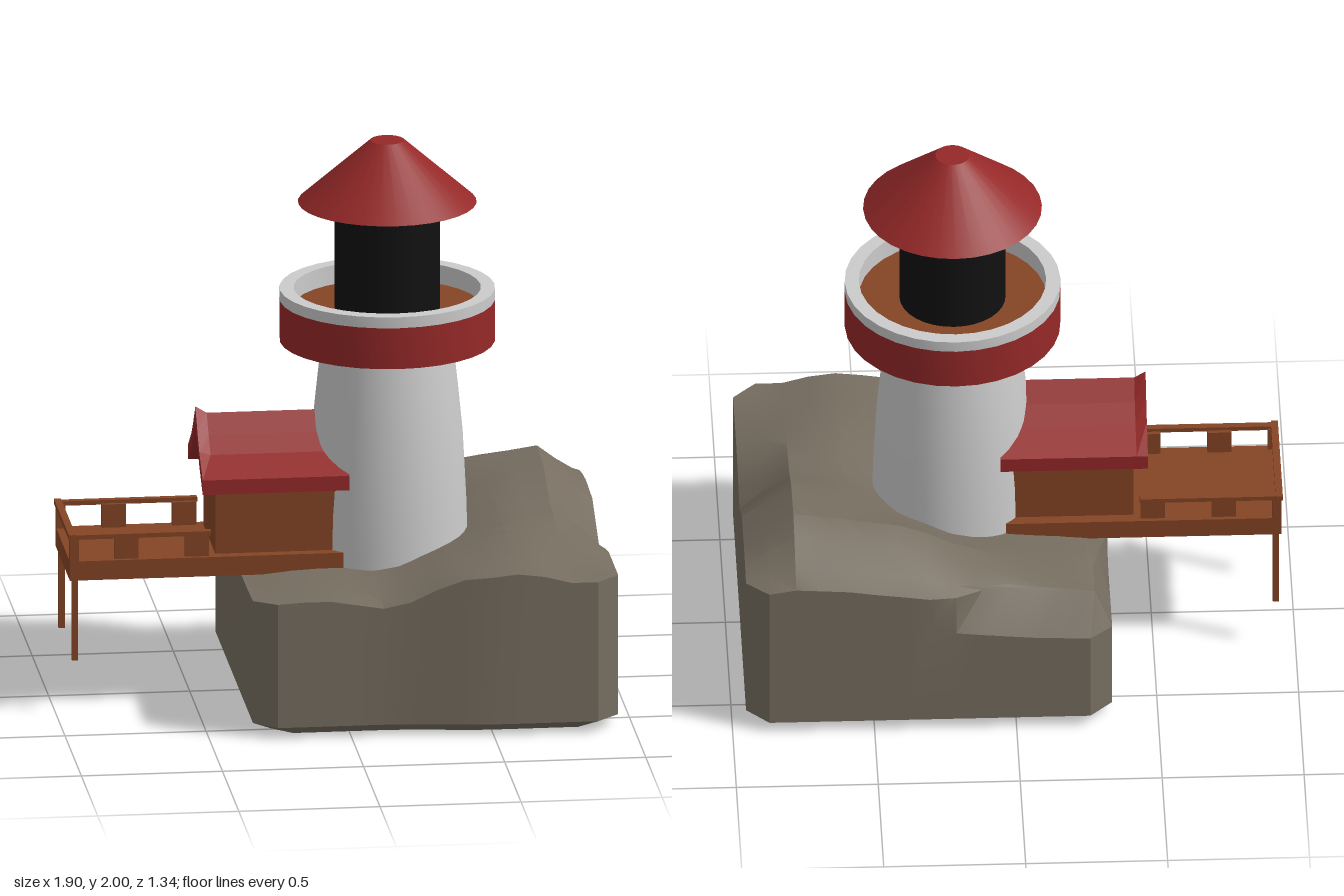
import * as THREE from 'three';
import { toCreasedNormals } from 'three/addons/utils/BufferGeometryUtils.js';

const mat = (color, extra = {}) => new THREE.MeshStandardMaterial({ color, ...extra });
const GREY = mat(0xcccccc, { side: THREE.DoubleSide });
const RED = mat(0x952828);
const BROWN = mat(0x844425);
const BLACK = mat(0x111111);
const ROCK = mat(0x766d60);

function add(parent, name, geometry, material, x = 0, y = 0, z = 0) {
  const mesh = new THREE.Mesh(geometry, material);
  mesh.name = name;
  mesh.position.set(x, y, z);
  parent.add(mesh);
  return mesh;
}

// Box given by its limits on each axis
function block(parent, name, material, [x0, x1], [y0, y1], [z0, z1]) {
  return add(parent, name, new THREE.BoxGeometry(x1 - x0, y1 - y0, z1 - z0), material,
    (x0 + x1) / 2, (y0 + y1) / 2, (z0 + z1) / 2);
}

const lathe = (pts, segments = 32) => toCreasedNormals(
  new THREE.LatheGeometry(pts.map(p => new THREE.Vector2(...p)), segments), 0.6);

// Extrude a (z, y) outline along x from x0 to x1
function extrudeX(outline, x0, x1, steps = 1) {
  const shape = new THREE.Shape(outline.map(([z, y]) => new THREE.Vector2(-z, y)));
  const g = new THREE.ExtrudeGeometry(shape, { depth: x1 - x0, steps, bevelEnabled: false });
  return g.rotateY(Math.PI / 2).translate(x0, 0, 0);
}

// Rock: coarse terrain heights, smoothly interpolated
const CX = [-0.34, -0.1, 0.14, 0.4, 0.62, 0.78, 0.95];
const CZ = [-0.67, -0.42, -0.2, 0, 0.3, 0.67];
const HEIGHTS = [
  [0.50, 0.51, 0.53, 0.57, 0.60, 0.61, 0.58],
  [0.49, 0.53, 0.58, 0.69, 0.72, 0.745, 0.61],
  [0.48, 0.50, 0.52, 0.60, 0.70, 0.73, 0.60],
  [0.48, 0.50, 0.50, 0.56, 0.64, 0.65, 0.49],
  [0.48, 0.50, 0.50, 0.58, 0.635, 0.61, 0.55],
  [0.49, 0.50, 0.46, 0.57, 0.59, 0.55, 0.55],
];

function sample(keys, values, t) {
  let k = 0;
  while (k < keys.length - 2 && t > keys[k + 1]) k++;
  const f = THREE.MathUtils.clamp((t - keys[k]) / (keys[k + 1] - keys[k]), 0, 1);
  return THREE.MathUtils.lerp(values[k], values[k + 1], 0.5 * f + 0.5 * f * f * (3 - 2 * f));
}
const height = (x, z) => sample(CZ, HEIGHTS.map(row => sample(CX, row, x)), z);

function rockGeometry() {
  const N = 14, CH = 0.08;
  const line = (a, b) => {
    const out = [a];
    for (let i = 0; i <= N - 2; i++) out.push(a + CH + (b - a - 2 * CH) * i / (N - 2));
    return [...out, b];
  };
  const xs = line(-0.34, 0.95), zs = line(-0.67, 0.67);
  const pos = [], idx = [];
  const push = (x, y, z) => pos.push(x, y, z) / 3 - 1;

  // Plan position with chamfered corners and a wavy front wall
  const plan = (i, j) => {
    let x = xs[i], z = zs[j];
    if ((i === 0 || i === N) && (j === 0 || j === N)) {
      x -= Math.sign(i - 1) * CH / 2;
      z -= Math.sign(j - 1) * CH / 2;
    }
    if (z > 0) z *= 1 - 0.065 * (1 - THREE.MathUtils.smoothstep(x, 0.1, 0.55));
    return [x, z];
  };

  // Top surface; its rim is drawn in around the back right corner
  for (let j = 0; j <= N; j++) for (let i = 0; i <= N; i++) {
    let [x, z] = plan(i, j);
    const y = height(x, z);
    const back = 1 - THREE.MathUtils.smoothstep(x, 0.05, 0.3);
    const side = 1 - THREE.MathUtils.smoothstep(z, -0.4, -0.15);
    z = Math.max(z, THREE.MathUtils.lerp(-0.67, -0.55 + 0.01 * (j - 1), back));
    x = Math.max(x, THREE.MathUtils.lerp(-0.34, -0.27 + 0.01 * (i - 1), side));
    push(x, y, z);
  }
  const at = (i, j) => j * (N + 1) + i;
  for (let j = 0; j < N; j++) for (let i = 0; i < N; i++) {
    const a = at(i, j), b = at(i, j + 1), c = at(i + 1, j + 1), d = at(i + 1, j);
    idx.push(a, b, c, a, c, d);
  }

  // Walls: rings below the rim, ending in a bevelled foot
  const loop = [];
  for (let k = 0; k < N; k++) loop.push([k, N]);
  for (let k = N; k > 0; k--) loop.push([N, k]);
  for (let k = N; k > 0; k--) loop.push([k, 0]);
  for (let k = 0; k < N; k++) loop.push([0, k]);
  let upper = loop.map(([i, j]) => at(i, j));
  for (const ring of [2, 1, 0]) {
    const lower = loop.map(([i, j]) => {
      const [x, z] = plan(i, j);
      const s = ring ? 1 : 0.89;
      const y = ring === 2 ? height(x, z) - 0.13 : ring * 0.04;
      return push(0.305 + (x - 0.305) * s, y, z * s);
    });
    lower.forEach((l0, k) => {
      const n = (k + 1) % loop.length;
      idx.push(l0, lower[n], upper[n], l0, upper[n], upper[k]);
    });
    upper = lower;
  }
  const c = push(0.305, 0, 0);
  upper.forEach((u, k) => idx.push(c, upper[(k + 1) % upper.length], u));

  const g = new THREE.BufferGeometry();
  g.setAttribute('position', new THREE.Float32BufferAttribute(pos, 3));
  g.setIndex(idx);
  return toCreasedNormals(g, 0.35);
}

function buildTower() {
  const tower = new THREE.Group();
  tower.name = 'tower';
  tower.position.x = 0.2;
  add(tower, 'towerShaft', lathe([[0.285, 0.42], [0.28, 0.68], [0.267, 0.93], [0.25, 1.1], [0.23, 1.28]]), GREY);
  // Gallery: red band, pale rim and underside, plank floor
  add(tower, 'galleryBand', lathe([[0.38, 1.27], [0.38, 1.42]]), RED);
  add(tower, 'galleryRim', lathe([[0.38, 1.42], [0.38, 1.46], [0.33, 1.46], [0.33, 1.38]]), GREY);
  add(tower, 'galleryUnderside', lathe([[0.2, 1.27], [0.38, 1.27]]), GREY);
  add(tower, 'galleryFloor', new THREE.CylinderGeometry(0.335, 0.335, 0.02, 32), BROWN, 0, 1.38, 0);
  add(tower, 'lantern', new THREE.CylinderGeometry(0.187, 0.187, 0.41, 32), BLACK, 0, 1.575, 0);
  // Conical cap with a flat tip
  add(tower, 'lanternRoof', lathe([[0.315, 1.775], [0.06, 2], [0, 2]]), RED);
  add(tower, 'lanternRoofUnderside', lathe([[0.15, 1.775], [0.315, 1.775]]), GREY);
  return tower;
}

function buildHouse() {
  const house = new THREE.Group();
  house.name = 'house';
  add(house, 'houseWalls', extrudeX([[-0.18, 0.5], [0.18, 0.5], [0.18, 0.81], [0, 0.97], [-0.18, 0.81]], -0.43, 0.06), BROWN);
  // Sagging gable roof whose ridge kicks up at the open end
  const half = [[0.225, 0.785], [0.225, 0.838], [0.12, 0.9], [0.06, 0.955], [0, 1.02]];
  const left = half.slice(0, 4).reverse().map(([z, y]) => [-z, y]);
  const roof = extrudeX([...half, ...left, [-0.12, 0.85], [0, 0.965], [0.12, 0.85]], -0.48, 0.04, 13);
  const p = roof.attributes.position;
  for (let i = 0; i < p.count; i++) {
    if (p.getX(i) < -0.46) p.setY(i, p.getY(i) + 0.025 * (1 - Math.abs(p.getZ(i)) / 0.225));
  }
  roof.computeVertexNormals();
  add(house, 'houseRoof', roof, RED);
  return house;
}

function buildDock() {
  const dock = new THREE.Group();
  dock.name = 'dock';
  block(dock, 'deck', BROWN, [-0.95, 0.02], [0.485, 0.555], [-0.22, 0.22]);
  block(dock, 'endRail', BROWN, [-0.955, -0.93], [0.638, 0.655], [-0.23, 0.23]);
  for (const s of [-1, 1]) {
    const span = (a, b) => [Math.min(s * a, s * b), Math.max(s * a, s * b)];
    block(dock, 'sideRail', BROWN, [-0.95, -0.45], [0.636, 0.652], span(0.2, 0.225));
    block(dock, 'cornerPost', BROWN, [-0.95, -0.918], [0.55, 0.64], span(0.195, 0.22));
    for (const [a, b] of [[-0.79, -0.705], [-0.54, -0.455]]) {
      block(dock, 'railBoard', BROWN, [a, b], [0.55, 0.64], span(0.185, 0.205));
    }
    block(dock, 'dockLeg', BROWN, [-0.942, -0.92], [0.19, 0.49], span(0.193, 0.215));
  }
  return dock;
}

export function createModel() {
  const model = new THREE.Group();
  model.name = 'lighthouse';
  add(model, 'rock', rockGeometry(), ROCK);
  model.add(buildTower(), buildHouse(), buildDock());
  return model;
}
